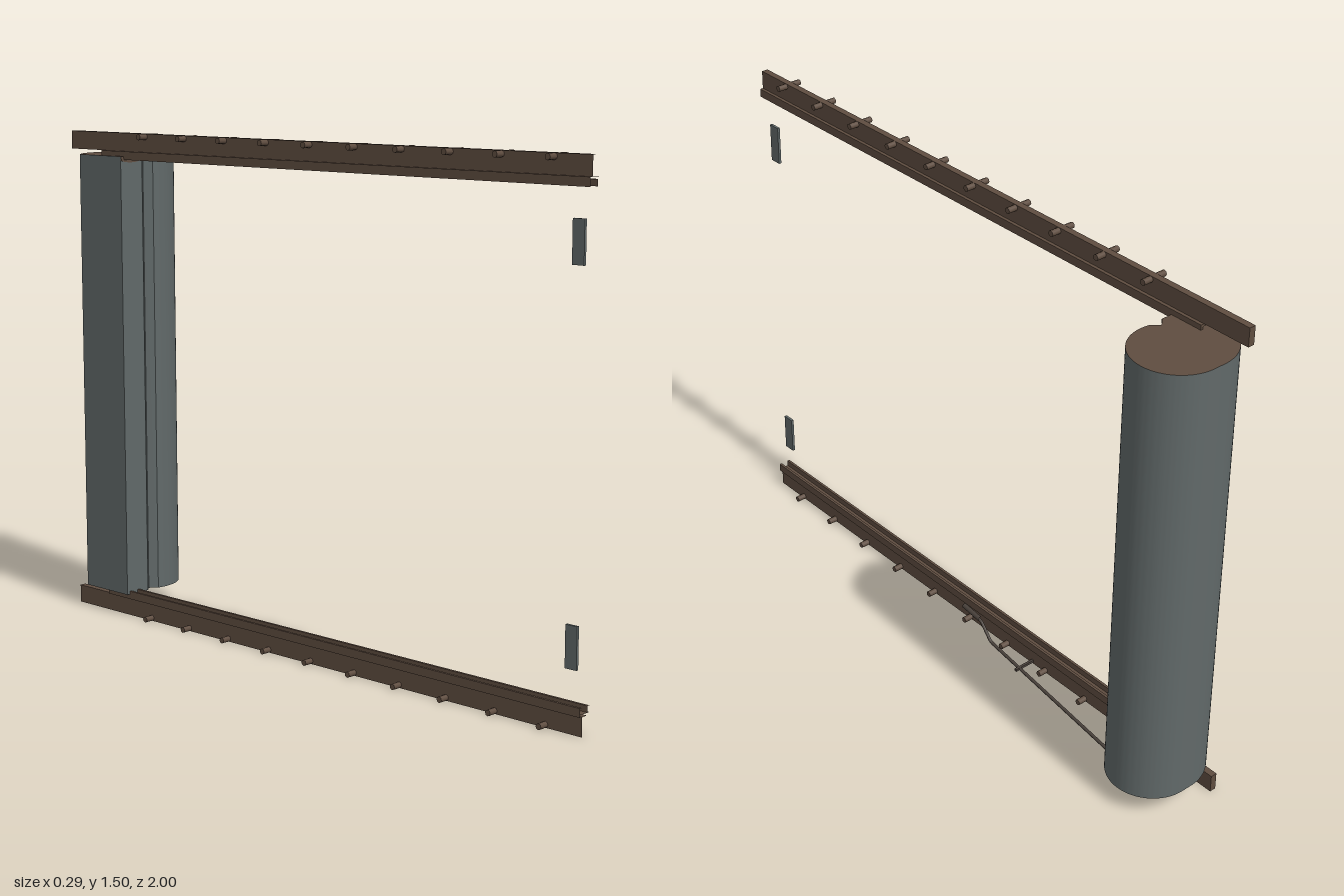
import * as THREE from 'three';
import { toCreasedNormals } from 'three/addons/utils/BufferGeometryUtils.js';

const mat = (name, color) => new THREE.MeshStandardMaterial({ name, color });

export function createModel() {
  const root = new THREE.Group();
  root.name = 'curtainTrackAssembly';
  const brown = mat('brown', 0x5f4d40);
  const grey = mat('grey', 0x616969);
  const dark = mat('dark metal', 0x4a423c);

  const add = (parent, name, geo, material) => {
    const mesh = new THREE.Mesh(geo, material);
    mesh.name = name;
    parent.add(mesh);
    return mesh;
  };

  // Box from min and max corners; openFront leaves out the +z end
  const box = (x0, x1, y0, y1, z0, z1, openFront = false) => {
    const g = new THREE.BoxGeometry(x1 - x0, y1 - y0, z1 - z0);
    if (openFront) {
      const idx = Array.from(g.index.array);
      idx.splice(24, 6);
      g.setIndex(idx);
      g.clearGroups();
    }
    return g.translate((x0 + x1) / 2, (y0 + y1) / 2, (z0 + z1) / 2);
  };

  // Rails: narrow web, open channel towards the middle, row of cross pegs
  for (const top of [false, true]) {
    const rail = new THREE.Group();
    rail.name = top ? 'topRail' : 'bottomRail';
    root.add(rail);
    const slab = (name, x0, x1, y0, y1, z0) => {
      const [a, b] = top ? [1.5 - y1, 1.5 - y0] : [y0, y1];
      add(rail, name, box(x0, x1, a, b, z0, 1, true), brown);
    };
    slab('railWeb', -0.12, -0.1, 0, 0.055, -1);
    slab('channelBase', -0.13, -0.09, 0.055, 0.062, -0.85);
    slab('channelWall', -0.13, -0.122, 0.062, 0.08, -0.85);
    slab('channelWall', -0.098, -0.09, 0.062, 0.08, -0.85);
    for (let i = 0; i < 10; i++) {
      const g = new THREE.CylinderGeometry(0.009, 0.009, 0.078, 8).rotateZ(Math.PI / 2);
      const peg = add(rail, 'railPeg', g, brown);
      peg.position.set(-0.11, top ? 1.491 : 0.009, 0.88 - i * 0.171);
    }
  }

  // Gathered curtain: round bundle with a flat side and a crease in front
  const s = new THREE.Shape();
  s.moveTo(-0.14, 0.75);
  s.lineTo(-0.055, 0.75);
  s.lineTo(-0.035, 0.768);
  s.lineTo(-0.012, 0.749);
  s.absarc(0.016, 0.873, 0.127, -1.79, Math.PI / 2, false);
  s.lineTo(-0.025, 1);
  s.bezierCurveTo(-0.075, 0.997, -0.105, 0.975, -0.14, 0.94);
  s.closePath();
  const bundle = new THREE.ExtrudeGeometry(s, { depth: 1.36, bevelEnabled: false, curveSegments: 32 });
  bundle.rotateX(-Math.PI / 2).translate(0, 0.07, 0);
  add(root, 'curtainBundle', toCreasedNormals(bundle, 0.45), [brown, grey]);

  // Curved brown edge at the top of the flat panel
  const hem = new THREE.Shape();
  hem.moveTo(-0.14, 1.43);
  hem.lineTo(-0.14, 1.417);
  hem.quadraticCurveTo(-0.1, 1.405, -0.056, 1.418);
  hem.lineTo(-0.056, 1.43);
  add(root, 'curtainHem', new THREE.ExtrudeGeometry(hem, { depth: 0.003, bevelEnabled: false })
    .translate(0, 0, -0.75), brown);

  // Small upright plates at the front end
  for (const y of [0.168, 1.22]) {
    add(root, 'latchPlate', box(-0.104, -0.096, y, y + 0.118, 0.928, 0.966), grey);
  }

  // Cranked pull rod running from below the curtain to the handle
  const rod = new THREE.CurvePath();
  const pts = [[0.025, 0.01, -0.86], [-0.063, 0.01, -0.11], [-0.071, 0.054, -0.055], [-0.08, 0.056, 0.03]]
    .map(p => new THREE.Vector3(...p));
  for (let i = 0; i < 3; i++) rod.add(new THREE.LineCurve3(pts[i], pts[i + 1]));
  add(root, 'pullRod', new THREE.TubeGeometry(rod, 60, 0.005, 8), dark);
  const grip = new THREE.LineCurve3(new THREE.Vector3(-0.072, 0.056, -0.05), new THREE.Vector3(-0.08, 0.056, 0.034));
  add(root, 'handleGrip', new THREE.TubeGeometry(grip, 1, 0.008, 10), dark);

  // Rod guide beside the rail and foot plate below the curtain
  add(root, 'rodGuide', box(-0.1, -0.03, 0.006, 0.014, -0.264, -0.256), dark);
  add(root, 'footPlate', box(-0.02, 0.048, 0.005, 0.015, -0.9, -0.84), brown);
  return root;
}
